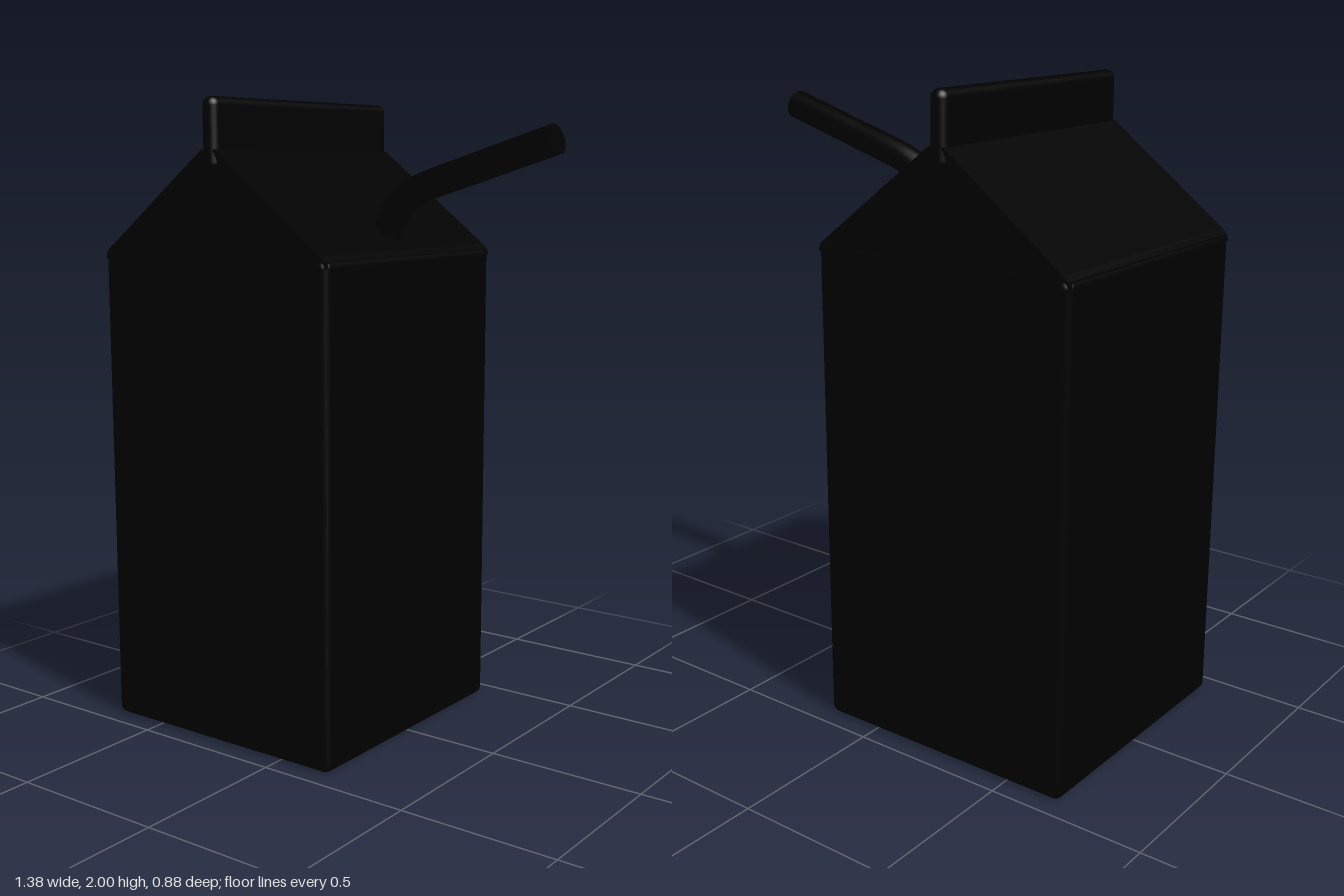
import * as THREE from 'three';
import { RoundedBoxGeometry } from 'three/addons/geometries/RoundedBoxGeometry.js';

const CENTER_X = -0.25;
const HALF = 0.441;

// Gable roof: a profile swept along z, with each end folded in to a point
function roofGeometry() {
  const half = [[0.44, 1.51], [0.434, 1.53], [0.418, 1.545], [0.026, 1.845]];
  const outline = [...half, ...half.slice().reverse().map(([x, y]) => [-x, y])];
  const z = 0.436, fold = [0, 1.545, 0.33];
  const pos = [];
  const tri = (...corners) => corners.forEach((c) => pos.push(...c));
  for (let i = 0; i < outline.length; i++) {
    const [ax, ay] = outline[i];
    const [bx, by] = outline[(i + 1) % outline.length];
    const a = [ax, ay, z], b = [bx, by, z];
    const c = [bx, by, -z], d = [ax, ay, -z];
    tri(a, d, c);
    tri(a, c, b);
    tri(a, b, fold);
    tri(c, d, [fold[0], fold[1], -fold[2]]);
  }
  const geo = new THREE.BufferGeometry();
  geo.setAttribute('position', new THREE.Float32BufferAttribute(pos, 3));
  geo.computeVertexNormals();
  return geo;
}

export function createModel() {
  const group = new THREE.Group();
  const black = new THREE.MeshStandardMaterial({ color: 0x000000, side: THREE.DoubleSide });
  const add = (name, geometry, x = 0, y = 0, z = 0) => {
    const mesh = new THREE.Mesh(geometry, black);
    mesh.name = name;
    mesh.position.set(x, y, z);
    group.add(mesh);
    return mesh;
  };

  // Carton body, folded roof and the sealed fin on the ridge
  add('cartonBody', new RoundedBoxGeometry(HALF * 2, 1.535, HALF * 2, 4, 0.026), CENTER_X, 0.7675);
  add('gableRoof', roofGeometry(), CENTER_X);
  add('topFin', new RoundedBoxGeometry(0.054, 0.22, HALF * 2, 4, 0.0265), CENTER_X, 1.89);

  // Bent straw coming out of the roof
  const path = new THREE.CatmullRomCurve3([
    [0.075, 1.53], [0.1, 1.61], [0.138, 1.68], [0.2, 1.722], [0.43, 1.797], [0.676, 1.872],
  ].map(([x, y]) => new THREE.Vector3(x, y, 0)));
  const radius = 0.045;
  add('straw', new THREE.TubeGeometry(path, 40, radius, 24));

  // Straw ends
  for (const t of [0, 1]) {
    const p = path.getPointAt(t);
    const dir = path.getTangentAt(t).multiplyScalar(t ? 1 : -1);
    const cap = add('strawEnd', new THREE.CircleGeometry(radius, 24), p.x, p.y, p.z);
    cap.quaternion.setFromUnitVectors(new THREE.Vector3(0, 0, 1), dir);
  }
  return group;
}
